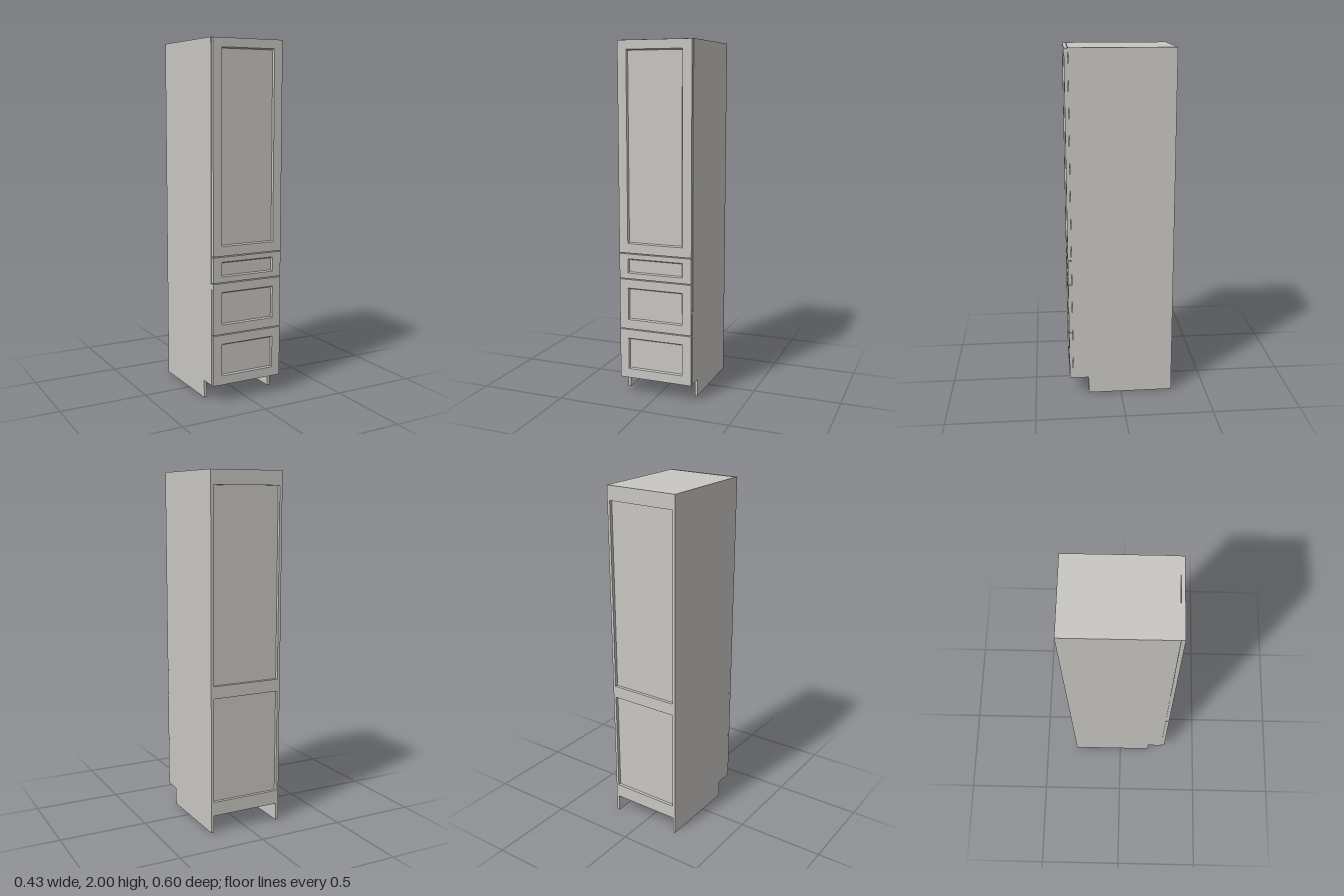
import * as THREE from 'three';

const paint = new THREE.MeshStandardMaterial({ color: 0xc9c7c3 });
paint.name = 'warm grey paint';

const W = 0.217;      // half width
const T = 0.016;      // board thickness
const BACK = -0.3;
const CARCASS = 0.279; // front of the carcass
const FRONT = 0.3;    // front of the doors
const BASE = 0.1;     // underside of the carcass

function add(group, name, geometry) {
  const mesh = new THREE.Mesh(geometry, paint);
  mesh.name = name;
  group.add(mesh);
}

// Board given by its limits on each axis
function board(group, name, x0, x1, y0, y1, z0, z1) {
  const g = new THREE.BoxGeometry(x1 - x0, y1 - y0, z1 - z0);
  g.translate((x0 + x1) / 2, (y0 + y1) / 2, (z0 + z1) / 2);
  add(group, name, g);
}

// Framed front with a recessed panel, made from rectangular loops back to front
function framedFront(group, name, y0, y1, p0, p1) {
  const w = 0.2145, pw = 0.163, slope = 0.006, depth = 0.01;
  const loops = [
    [w, y0, y1, CARCASS + 0.001],
    [w, y0, y1, FRONT],
    [pw, p0, p1, FRONT],
    [pw - slope, p0 + slope, p1 - slope, FRONT - depth],
  ];
  const pos = [], idx = [];
  for (const [x, a, b, z] of loops) pos.push(-x, a, z, x, a, z, x, b, z, -x, b, z);
  for (let l = 0; l < loops.length - 1; l++) {
    for (let i = 0; i < 4; i++) {
      const a = l * 4 + i, b = l * 4 + (i + 1) % 4;
      idx.push(a, b, b + 4, a, b + 4, a + 4);
    }
  }
  const e = (loops.length - 1) * 4;
  idx.push(e, e + 1, e + 2, e, e + 2, e + 3, 0, 2, 1, 0, 3, 2);
  const indexed = new THREE.BufferGeometry();
  indexed.setAttribute('position', new THREE.Float32BufferAttribute(pos, 3));
  indexed.setIndex(idx);
  const g = indexed.toNonIndexed();
  g.computeVertexNormals();
  add(group, name, g);
}

export function createModel() {
  const model = new THREE.Group();
  model.name = 'tallCabinet';

  // Side panels, notched at the front for the toe space
  const side = new THREE.Shape();
  [[-CARCASS, BASE], [-0.19, BASE], [-0.19, 0], [-BACK, 0], [-BACK, 2], [-CARCASS, 2]]
    .forEach(([u, v], i) => (i ? side.lineTo(u, v) : side.moveTo(u, v)));
  for (const s of [-1, 1]) {
    const g = new THREE.ExtrudeGeometry(side, { depth: T, bevelEnabled: false });
    g.rotateY(Math.PI / 2);
    g.translate(s > 0 ? W - T : -W, 0, 0);
    add(model, s > 0 ? 'leftSide' : 'rightSide', g);
  }

  // Top, bottom and recessed back
  const x = W - T;
  board(model, 'top', -x, x, 2 - T, 2, BACK, CARCASS);
  board(model, 'bottom', -x, x, BASE, BASE + T, BACK, CARCASS);
  board(model, 'backPanel', -x, x, BASE + T, 2 - T, BACK + 0.018, BACK + 0.026);

  // Rails across the back
  for (const [name, y0, y1] of [
    ['lowerBackRail', BASE + T, 0.18],
    ['middleBackRail', 0.775, 0.845],
    ['upperBackRail', 1.92, 2 - T],
  ]) board(model, name, -x, x, y0, y1, BACK, BACK + 0.018);

  // Door and three drawers
  framedFront(model, 'door', 0.831, 1.998, 0.885, 1.949);
  framedFront(model, 'topDrawer', 0.684, 0.826, 0.716, 0.798);
  framedFront(model, 'middleDrawer', 0.391, 0.679, 0.445, 0.629);
  framedFront(model, 'bottomDrawer', BASE, 0.386, 0.153, 0.335);

  return model;
}
